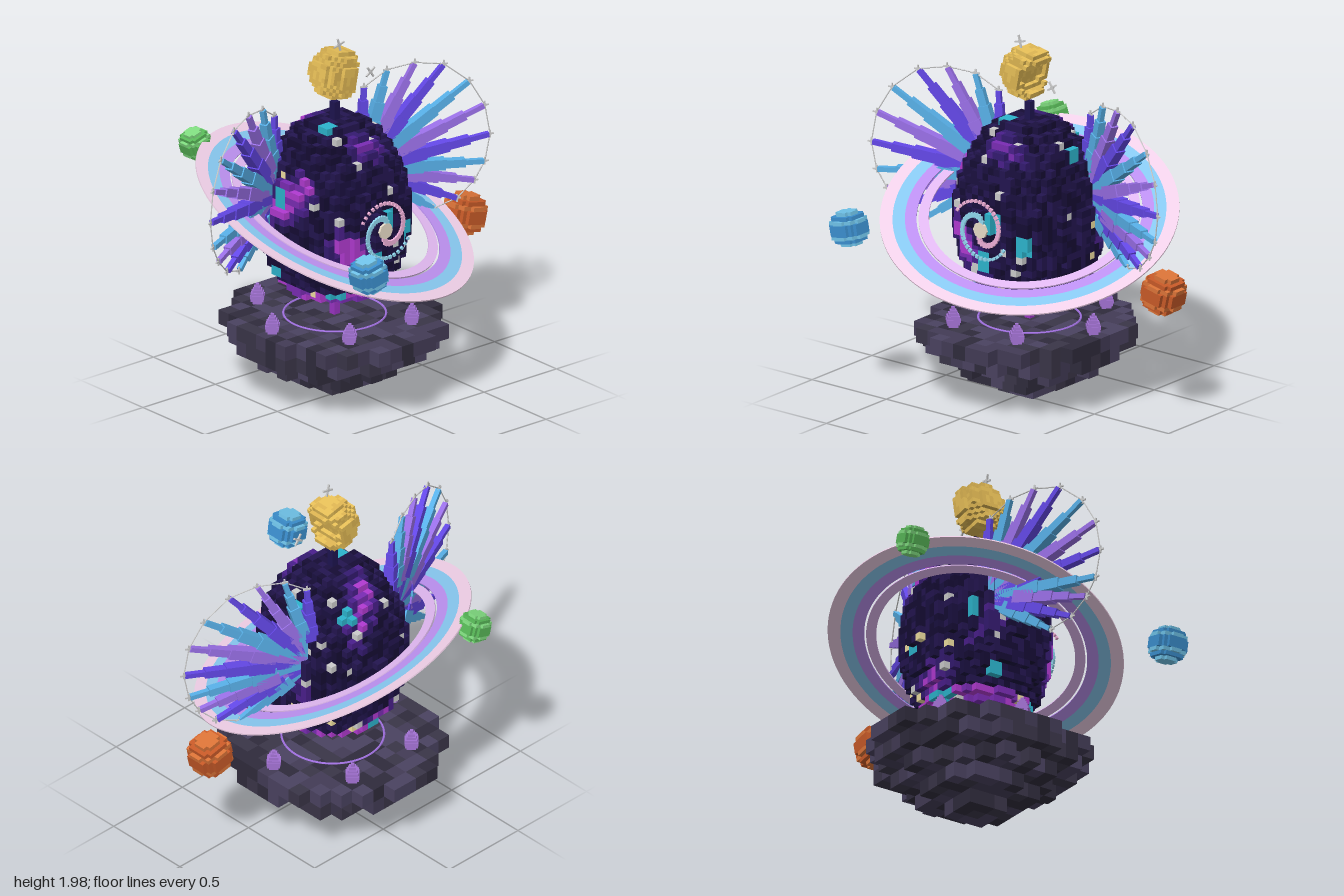
import * as THREE from 'three';
import { mergeGeometries } from 'three/addons/utils/BufferGeometryUtils.js';

const CX = -0.018, CZ = -0.1; // axis of egg, island and rings

const hash = (x, y, z) => {
  const s = Math.sin(x * 127.1 + y * 311.7 + z * 74.7) * 43758.5453;
  return s - Math.floor(s);
};

function addMesh(parent, name, geometry, color) {
  const mesh = new THREE.Mesh(geometry, new THREE.MeshStandardMaterial({ color, flatShading: true }));
  mesh.name = name;
  parent.add(mesh);
  return mesh;
}

function addGroup(parent, name, x = 0, y = 0, z = 0) {
  const g = new THREE.Group();
  g.name = name;
  g.position.set(x, y, z);
  parent.add(g);
  return g;
}

const box = (w, h, d, x = 0, y = 0, z = 0) => new THREE.BoxGeometry(w, h, d).translate(x, y, z);

// Fill a grid with cubes wherever inside(i,j,k) holds, keep the outer shell, one mesh per colour
function voxels(parent, name, size, n, ny, inside, colorOf) {
  const buckets = new Map();
  for (let i = -n; i <= n; i++) for (let j = ny[0]; j <= ny[1]; j++) for (let k = -n; k <= n; k++) {
    if (!inside(i, j, k)) continue;
    if (inside(i + 1, j, k) && inside(i - 1, j, k) && inside(i, j + 1, k) &&
        inside(i, j - 1, k) && inside(i, j, k + 1) && inside(i, j, k - 1)) continue;
    const c = colorOf(i, j, k);
    if (!buckets.has(c)) buckets.set(c, []);
    buckets.get(c).push(box(size, size, size, i * size, j * size, k * size));
  }
  let b = 0;
  for (const [c, list] of buckets) addMesh(parent, name + 'Shade' + ++b, mergeGeometries(list), c);
}

// Linear lookup in a list of [position, value] pairs
function lookup(pairs, t) {
  for (let i = 1; i < pairs.length; i++) {
    const [a, va] = pairs[i - 1], [b, vb] = pairs[i];
    if (t >= a && t <= b) return va + (vb - va) * (t - a) / (b - a);
  }
  return -1;
}

const starGeometry = (r, t) => mergeGeometries([box(2 * r, t, t), box(t, 2 * r, t), box(t * 1.8, t * 1.8, t * 1.2)]);

function buildIsland(root) {
  const island = addGroup(root, 'island', CX, 0.0395, CZ);
  const s = 0.0785, rx = [0.14, 0.29, 0.39, 0.51, 0.515], rz = [0.13, 0.285, 0.39, 0.51, 0.59];
  const scaled = addGroup(island, 'rock');
  scaled.scale.y = 0.08 / s;
  voxels(scaled, 'rock', s, 8, [0, 4], (i, j, k) => {
    if (j < 0 || j > 4) return false;
    return Math.hypot(i * s / rx[j], k * s / rz[j]) < 0.96 + 0.09 * hash(i, 0, k);
  }, (i, j, k) => [0x3a3548, 0x4a4260, 0x2f2b3c, 0x423b55][Math.floor(hash(i, j, k) * 4)]);

  const halo = addMesh(root, 'groundCircle', new THREE.TorusGeometry(0.27, 0.006, 6, 64), 0xa070e0);
  halo.rotation.x = Math.PI / 2;
  halo.position.set(CX, 0.402, CZ);

  // Six small stepped eggs around the island
  const widths = [0.05, 0.068, 0.074, 0.066, 0.05, 0.036, 0.018];
  const small = mergeGeometries(widths.map((w, i) => box(w, 0.0157, w, 0, 0.408 + i * 0.0157, 0)));
  for (let i = 0; i < 6; i++) {
    const a = i * Math.PI / 3;
    const m = addMesh(root, 'smallEgg', small, 0xa070d0);
    m.position.set(CX + 0.43 * Math.cos(a), 0, CZ + 0.43 * Math.sin(a));
    m.rotation.y = Math.PI / 4;
  }
}

function buildEgg(root) {
  const s = 0.038, y0 = 0.57;
  const egg = addGroup(root, 'egg', CX, y0, CZ);
  const profile = [[0.55, 0.22], [0.6, 0.27], [0.68, 0.325], [0.8, 0.37], [0.92, 0.385], [1.05, 0.385],
    [1.15, 0.37], [1.25, 0.34], [1.35, 0.285], [1.42, 0.23], [1.47, 0.165], [1.5, 0.1]];
  voxels(egg, 'shell', s, 11, [0, 24],
    (i, j, k) => Math.hypot(i, k) * s < lookup(profile, y0 + j * s),
    (i, j, k) => {
      const h = hash(i, j, k), cluster = hash(Math.round(i / 2), Math.round(j / 3), Math.round(k / 2));
      const nebula = Math.sin(i * 0.45 + j * 0.3 + 1) + Math.sin(k * 0.5 - j * 0.35) - i * 0.06;
      if (h > 0.965) return 0xcccccc;
      if (h > 0.955) return 0xf0e0a0;
      if (cluster > 0.95) return 0x2cb4cc;
      if (j < 2 || nebula > 1.75) return h > 0.5 ? 0xb03ad0 : 0x7a2cb4;
      if (nebula > 1.1) return h > 0.5 ? 0x4a1f8c : 0x341a70;
      return [0x1a1040, 0x231550, 0x150c34][Math.floor(h * 3)];
    });
  addMesh(root, 'topStem', box(s, 0.14, s, CX, 1.53, CZ), 0x1e1450);
  addMesh(root, 'lowerStem', box(s, 0.17, s, CX, 0.475, CZ), 0x9a34c4);
}

// Two-armed spiral of little cubes in front of the egg
function buildSpiral(root) {
  const spiral = addGroup(root, 'spiral', CX, 0.99, 0.31);
  const core = addMesh(spiral, 'spiralCore', new THREE.CylinderGeometry(0.045, 0.045, 0.014, 8), 0xe8dcc8);
  core.rotation.x = Math.PI / 2;
  [0xf0b0d8, 0x90d8f0].forEach((color, arm) => {
    const cubes = [];
    for (let n = 0; n < 26; n++) {
      const t = n / 25, a = -1.75 + 4.4 * t + arm * Math.PI, r = 0.045 + 0.13 * Math.pow(t, 0.6), w = 0.027 - 0.012 * t;
      cubes.push(new THREE.BoxGeometry(w, w, 0.012).rotateZ(a).translate(r * Math.cos(a), r * Math.sin(a), 0));
    }
    addMesh(spiral, 'spiralArm', mergeGeometries(cubes), color);
  });
}

// Tilted flat bands with a narrow gap after the innermost
function buildRings(root) {
  const rings = addGroup(root, 'rings', CX, 0.972, CZ);
  rings.quaternion.setFromUnitVectors(new THREE.Vector3(0, 1, 0), new THREE.Vector3(0.22, 1, 0.376).normalize());
  const bands = [[0.53, 0.583, 0xe0b8f0], [0.594, 0.655, 0xbc90f0], [0.655, 0.72, 0x88c8f0], [0.72, 0.788, 0xf0d0e8]];
  for (const [a, b, color] of bands) {
    const shape = new THREE.Shape().absarc(0, 0, b, 0, Math.PI * 2, false);
    shape.holes.push(new THREE.Path().absarc(0, 0, a, 0, Math.PI * 2, true));
    const g = new THREE.ExtrudeGeometry(shape, { depth: 0.008, bevelEnabled: false, curveSegments: 48 });
    addMesh(rings, 'ringBand', g.translate(0, 0, -0.004).rotateX(-Math.PI / 2), color);
  }
}

// Fan of eleven stepped feathers, with stars joined by a thin line at the tips
function buildWing(root, side) {
  const wing = addGroup(root, side > 0 ? 'leftWing' : 'rightWing', CX + side * 0.285, 1.1, -0.235);
  wing.rotation.y = -side * 0.365;
  const tips = [[0.31, 1.56], [0.43, 1.64], [0.575, 1.66], [0.725, 1.63], [0.858, 1.515], [0.938, 1.367],
    [0.965, 1.2], [0.938, 1.05], [0.884, 0.95], [0.793, 0.86], [0.67, 0.82]]
    .map(([x, y]) => new THREE.Vector3(side * (x - 0.285) / Math.cos(0.365), y - 1.1, 0));
  // start, end and width of each feather section, as a share of the length
  const sections = [[0.06, 0.3, 0.05], [0.3, 0.5, 0.07], [0.5, 0.68, 0.058], [0.68, 0.84, 0.044], [0.84, 0.99, 0.027]];
  const colors = [0x6448e8, 0x58b0e8, 0x9a70e8];
  tips.forEach((tip, i) => {
    const len = tip.length();
    const parts = sections.map(([a, b, w]) => box(w, (b - a) * len, w, 0, (a + b) / 2 * len, 0));
    const feather = addMesh(wing, 'feather', mergeGeometries(parts), colors[i % 3]);
    feather.rotation.z = Math.atan2(-tip.x, tip.y);
    addMesh(wing, 'tipStar', starGeometry(0.021, 0.008), 0xcccccc).position.copy(tip);
    if (i === 0) return;
    const line = new THREE.LineCurve3(tips[i - 1], tip);
    addMesh(wing, 'tipLine', new THREE.TubeGeometry(line, 1, 0.0035, 5), 0xcccccc);
  });
}

function buildSky(root) {
  // Crescent moon: a ball with a round bite on one side
  const moon = addGroup(root, 'moon', -0.018, 1.763, -0.088);
  moon.rotation.z = -0.2;
  const m = 0.0235;
  voxels(moon, 'moon', m, 6, [-6, 6],
    (i, j, k) => Math.hypot(i, j, k) * m < 0.137 && Math.hypot(i * m - 0.105, j * m, k * m * 0.55) > 0.1,
    (i, j, k) => hash(i, j, k) > 0.5 ? 0xe8c058 : 0xdcb452);

  const stars = [[-0.037, 1.94, 0.035, 0.25], [0.18, 1.73, 0.035, 0.6]];
  for (const [x, y, r, turn] of stars) {
    const star = addMesh(root, 'star', starGeometry(r, 0.009), 0xcccccc);
    star.position.set(x, y, -0.043);
    star.rotation.z = turn;
  }

  // Planets: position, radius, tilt, and two banded colours
  const planets = [
    ['bluePlanet', -0.53, 1.018, 0.772, 0.094, 0.2, 0x3c90d0, 0x70c4ea],
    ['orangePlanet', 0.882, 0.728, -0.105, 0.108, -0.22, 0xc85a28, 0xdc7438],
    ['greenPlanet', -0.405, 1.255, -0.772, 0.078, 0.3, 0x58b858, 0x80dc80]];
  for (const [name, x, y, z, r, tilt, c1, c2] of planets) {
    const planet = addGroup(root, name, x, y, z);
    planet.rotation.z = tilt;
    const s = r / 4.6;
    voxels(planet, name, s, 5, [-5, 5], (i, j, k) => Math.hypot(i, j, k) < 4.7,
      (i, j) => Math.abs(j) === 2 || Math.abs(j) === 4 ? c2 : c1);
  }
}

export function createModel() {
  const root = new THREE.Group();
  root.name = 'cosmicEgg';
  buildIsland(root);
  buildEgg(root);
  buildSpiral(root);
  buildRings(root);
  buildWing(root, 1);
  buildWing(root, -1);
  buildSky(root);
  return root;
}
